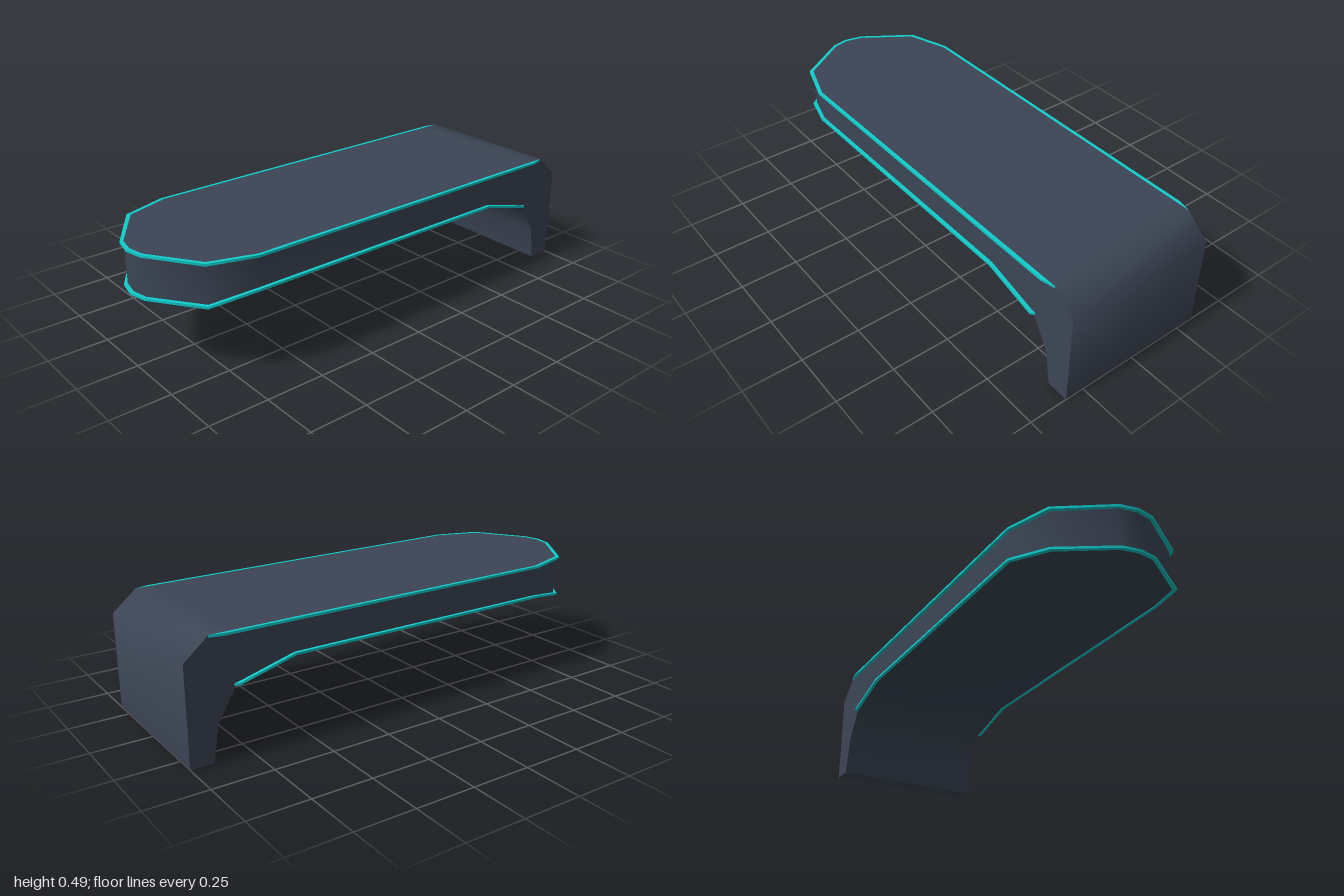
import * as THREE from 'three';
import { toCreasedNormals } from 'three/addons/utils/BufferGeometryUtils.js';

// Skins a list of equal-length rings; each ring runs counter-clockwise seen from the start of the sweep.
function skin(rings, capEnd) {
  const pos = [];
  const tri = (a, b, c) => {
    const area = b.clone().sub(a).cross(c.clone().sub(a)).length();
    if (area > 1e-8) pos.push(...a.toArray(), ...b.toArray(), ...c.toArray());
  };
  for (let i = 0; i < rings.length - 1; i++) {
    const A = rings[i], B = rings[i + 1];
    for (let j = 0; j < A.length; j++) {
      const k = (j + 1) % A.length;
      tri(A[j], B[j], A[k]);
      tri(A[k], B[j], B[k]);
    }
  }
  if (capEnd) {
    const E = rings[rings.length - 1];
    tri(E[0], E[2], E[1]);
    tri(E[0], E[3], E[2]);
  }
  const g = new THREE.BufferGeometry();
  g.setAttribute('position', new THREE.Float32BufferAttribute(pos, 3));
  return toCreasedNormals(g, 0.95);
}

const V = (x, y, z) => new THREE.Vector3(x, y, z);

// Trim: half path from the back to the nose, as [inner x, inner z, outer x, outer z, bottom y]
function trim(half, height, material, name) {
  const mirrored = half.slice(0, -1).reverse().map(([ix, iz, ox, oz, y]) => [-ix, iz, -ox, oz, y]);
  const rings = [...half, ...mirrored].map(([ix, iz, ox, oz, y]) => [
    V(ix, y + height, iz), V(ox, y + height, oz), V(ox, y, oz), V(ix, y, iz),
  ]);
  const mesh = new THREE.Mesh(skin(rings, false), material);
  mesh.name = name;
  return mesh;
}

export function createModel() {
  const slate = new THREE.MeshStandardMaterial({ color: 0x3c4555 });
  slate.name = 'slate';
  const cyan = new THREE.MeshStandardMaterial({ color: 0x10cccc });
  cyan.name = 'cyan';
  const group = new THREE.Group();
  group.name = 'platform';

  // Deck that turns down into the rear leg: [half width, upper z, upper y, lower z, lower y]
  const W = 0.333, top = 0.49;
  const stations = [
    [0, 0.985, top, 0.985, 0.308],
    [0.07, 0.972, top, 0.972, 0.309],
    [0.272, 0.835, top, 0.835, 0.313],
    [W, 0.652, top, 0.652, 0.348],
    [W, -0.56, top, -0.56, 0.348],
    [W, -0.82, top, -0.8, 0.283],
    [W, -0.9, top, -0.84, 0.218],
    [W, -1, 0.405, -0.88, 0.15],
    [W, -1, 0.015, -0.902, 0.015],
    [W, -0.998, 0, -0.905, 0],
  ];
  const body = new THREE.Mesh(skin(stations.map(([w, uz, uy, lz, ly]) => [
    V(w, uy, uz), V(-w, uy, uz), V(-w, ly, lz), V(w, ly, lz),
  ]), true), slate);
  body.name = 'deckAndLeg';
  group.add(body);

  // Glowing edge strips around the deck, tapering into the body at the back
  const T = 0.347;
  const nose = (y) => [
    [W, 0.652, T, 0.657, y[0]],
    [0.272, 0.835, 0.286, 0.845, y[1]],
    [0.07, 0.972, 0.075, 0.985, y[2]],
    [0, 0.985, 0, 1, y[3]],
  ];
  const topY = 0.481;
  group.add(trim([
    [W, -0.9, W, -0.9, topY],
    [W, -0.84, T, -0.84, topY],
    ...nose([topY, topY, topY, topY]),
  ], 0.01, cyan, 'topTrim'));
  group.add(trim([
    [W, -0.81, W, -0.81, 0.28],
    [W, -0.795, T, -0.795, 0.282],
    [W, -0.56, T, -0.56, 0.346],
    ...nose([0.346, 0.311, 0.307, 0.306]),
  ], 0.01, cyan, 'bottomTrim'));

  return group;
}
